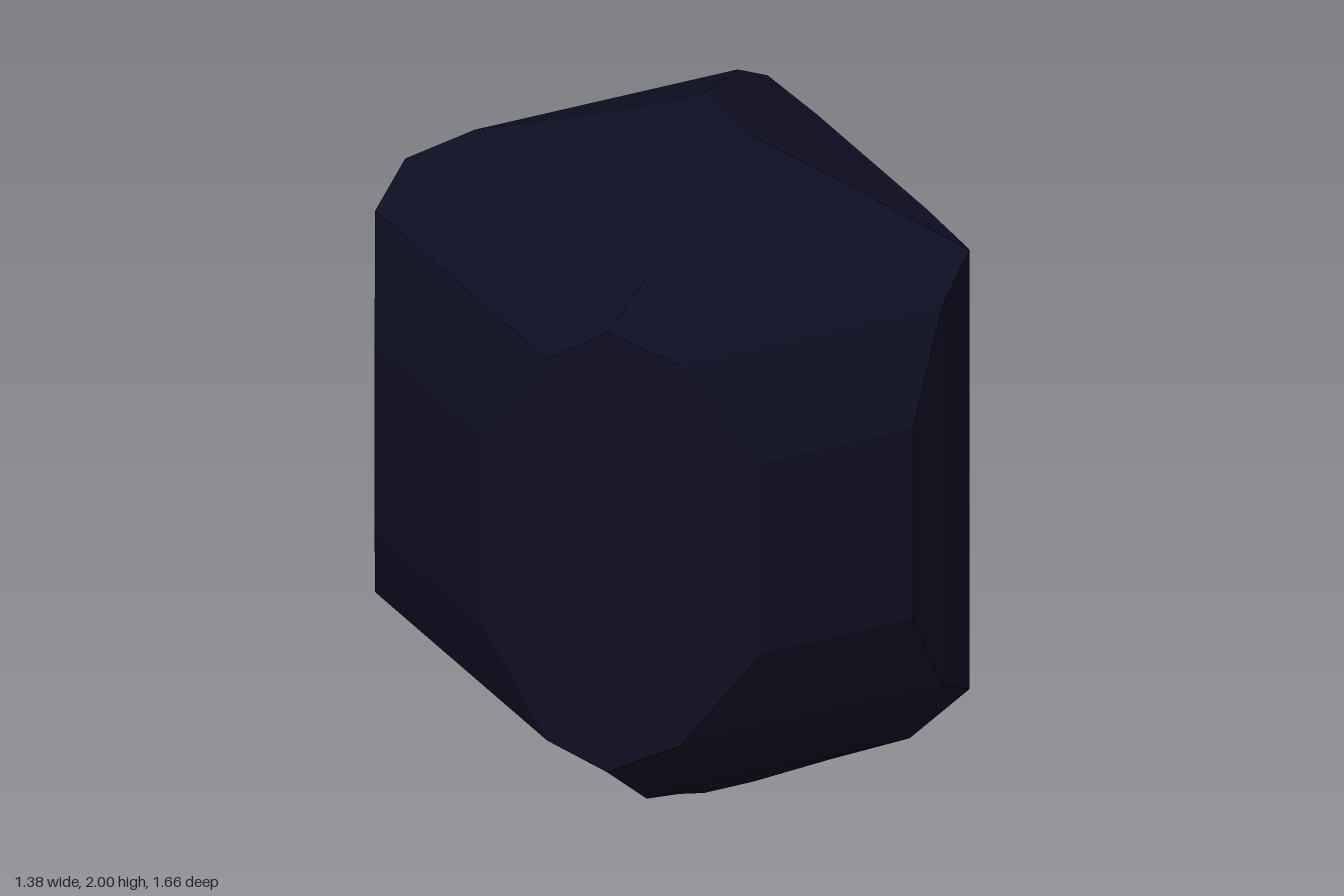
import * as THREE from 'three';

const navy = new THREE.MeshStandardMaterial({ color: 0x0e0e24 });
navy.name = 'dark navy';
const grey = new THREE.MeshStandardMaterial({ color: 0x676767 });
grey.name = 'grey';

// Rectangle of four corners across an axis (0 x, 1 y, 2 z), counter-clockwise seen from +axis
function rect(axis, level, u, v) {
  return [[0, 0], [1, 0], [1, 1], [0, 1]].map(([i, j]) => {
    const p = [0, 0, 0];
    p[axis] = level;
    p[(axis + 1) % 3] = u[i];
    p[(axis + 2) % 3] = v[j];
    return p;
  });
}

// Stepped panel: joins nested rectangles and caps the last one
function panel(name, axis, sign, steps) {
  const pos = [];
  const quad = (a, b, c, d) => {
    const q = sign > 0 ? [a, b, c, a, c, d] : [a, c, b, a, d, c];
    q.forEach((p) => pos.push(...p));
  };
  const rings = steps.map(([level, u, v]) => rect(axis, level, u, v));
  for (let r = 0; r + 1 < rings.length; r++) {
    const o = rings[r], n = rings[r + 1];
    for (let i = 0; i < 4; i++) {
      const j = (i + 1) % 4;
      quad(o[i], o[j], n[j], n[i]);
    }
  }
  quad(...rings[rings.length - 1]);
  const g = new THREE.BufferGeometry();
  g.setAttribute('position', new THREE.Float32BufferAttribute(pos, 3));
  g.computeVertexNormals();
  const mesh = new THREE.Mesh(g, navy);
  mesh.name = name;
  return mesh;
}

export function createModel() {
  const model = new THREE.Group();
  model.name = 'barredBlock';

  // Extents of the core block, the inset panels and the raised centres
  const X0 = [-0.45, 0.68], Y0 = [0.39, 1.75], Z0 = [-0.61, 0.61];
  const X1 = [-0.28, 0.54], Y1 = [0.48, 1.66], Z1 = [-0.52, 0.52];
  const X2 = [-0.08, 0.39], Y2 = [0.77, 1.36], Z2 = [-0.33, 0.33];
  const X3 = [0.09, 0.24], Z3 = [-0.15, 0.15];

  // Bulging shell
  model.add(
    panel('topShell', 1, 1, [[1.75, Z0, X0], [1.84, Z1, X1], [1.92, Z2, X2], [2, Z3, X3]]),
    panel('bottomShell', 1, -1, [[0.39, Z0, X0], [0.23, Z1, X1], [0.115, Z2, X2], [0, Z3, X3]]),
    panel('frontShell', 2, 1, [[0.61, X0, Y0], [0.72, X1, Y1], [0.83, X2, Y2]]),
    panel('backShell', 2, -1, [[-0.61, X0, Y0], [-0.72, X1, Y1], [-0.83, X2, Y2]]),
    panel('roundedEnd', 0, -1, [[-0.45, Y0, Z0], [-0.59, Y1, Z1], [-0.69, Y2, Z2]])
  );

  // Flat end with its frame and recess, and a slight lip along the top
  const recessX = 0.55;
  model.add(
    panel('recessedFrame', 0, 1, [[0.68, Y0, Z0], [0.68, Y1, Z1], [recessX, Y1, Z1]]),
    panel('frameLip', 0, 1, [[0.68, [1.66, 1.75], Z0], [0.69, [1.66, 1.75], Z2]])
  );

  // Vertical bars: a face and a side towards the middle
  const bars = new THREE.Group();
  bars.name = 'bars';
  const barX = 0.65, depth = barX - recessX, height = Y1[1] - Y1[0];
  const midY = (Y1[0] + Y1[1]) / 2;
  for (const side of [1, -1]) {
    for (const [z, width] of [[0.08, 0.07], [0.25, 0.08], [0.425, 0.06]]) {
      const face = new THREE.Mesh(new THREE.PlaneGeometry(width, height), grey);
      face.name = 'barFace';
      face.rotation.y = Math.PI / 2;
      face.position.set(barX, midY, side * z);
      const inner = new THREE.Mesh(new THREE.PlaneGeometry(depth, height), grey);
      inner.name = 'barSide';
      inner.rotation.y = side > 0 ? Math.PI : 0;
      inner.position.set(barX - depth / 2, midY, side * (z - width / 2));
      bars.add(face, inner);
    }
  }
  model.add(bars);
  return model;
}
